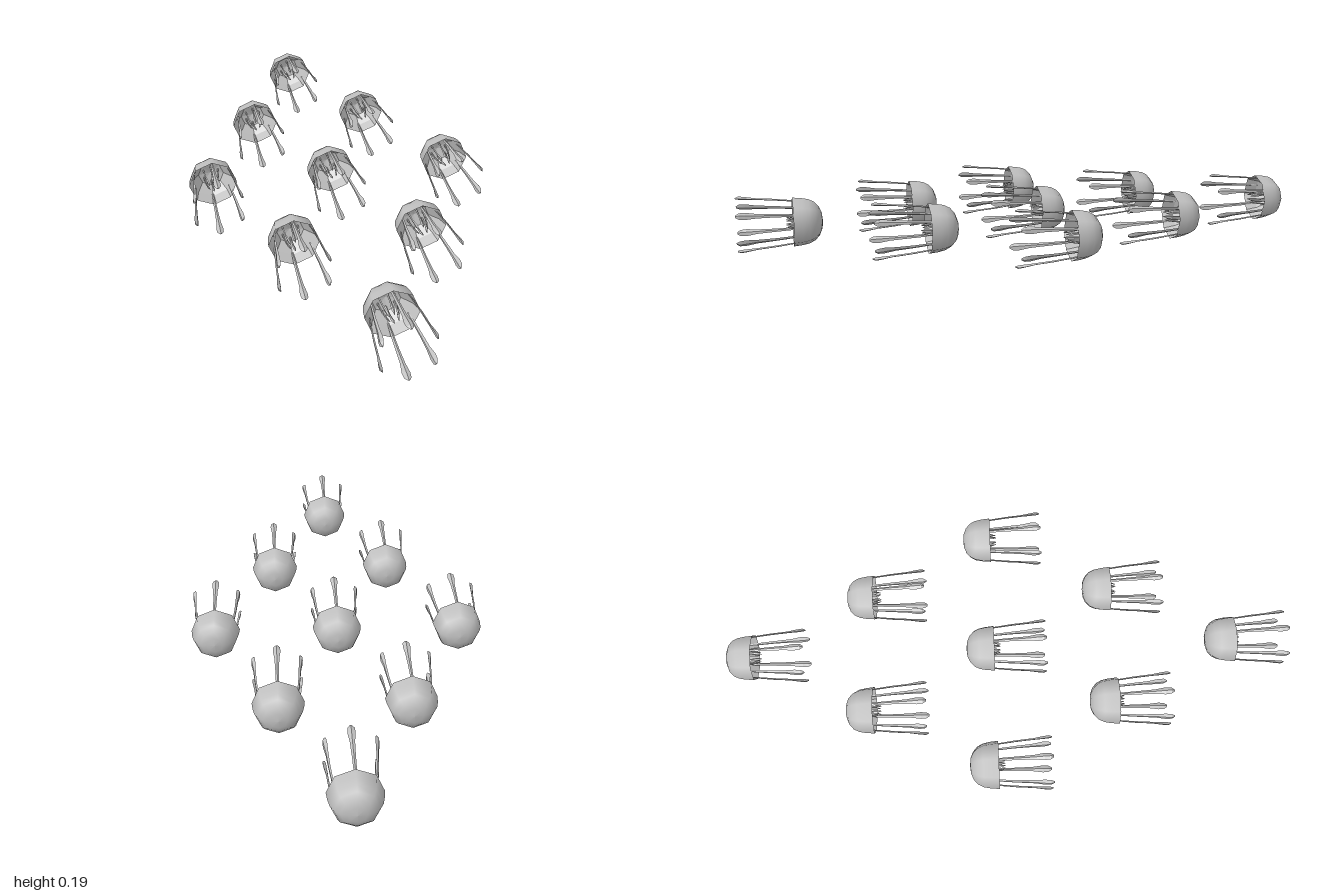
import * as THREE from 'three';

const smoothGrey = new THREE.MeshStandardMaterial({ color: 0xc2c2c2 });
smoothGrey.name = 'grey';
smoothGrey.side = THREE.DoubleSide;

// Lathe whose axis runs along +z, from the crown to the rim
function bellShell(profile, flat) {
  let geo = new THREE.LatheGeometry(profile.map(([r, z]) => new THREE.Vector2(r, z)), 8);
  geo.rotateX(Math.PI / 2);
  if (flat) {
    geo = geo.toNonIndexed();
    geo.computeVertexNormals();
  }
  return geo;
}

// Lofts a diamond section along z; each station is [z, distance from axis, half width, half thickness]
function armGeometry(stations) {
  const pos = [], idx = [];
  for (const [z, d, w, t] of stations) {
    pos.push(w, d, z, 0, d + t, z, -w, d, z, 0, d - t, z);
  }
  for (let i = 0; i < stations.length - 1; i++) {
    for (let j = 0; j < 4; j++) {
      const a = i * 4 + j, b = i * 4 + (j + 1) % 4;
      idx.push(a, b, b + 4, a, b + 4, a + 4);
    }
  }
  const e = (stations.length - 1) * 4;
  idx.push(0, 2, 1, 0, 3, 2, e, e + 1, e + 2, e, e + 2, e + 3);
  const indexed = new THREE.BufferGeometry();
  indexed.setAttribute('position', new THREE.Float32BufferAttribute(pos, 3));
  indexed.setIndex(idx);
  const geo = indexed.toNonIndexed();
  geo.computeVertexNormals();
  return geo;
}

export function createModel() {
  const model = new THREE.Group();
  model.name = 'jellyfishFormation';

  const outer = bellShell([
    [0, 0], [0.028, 0.003], [0.05, 0.012], [0.067, 0.027],
    [0.077, 0.046], [0.082, 0.07], [0.085, 0.1],
  ], false);
  const inner = bellShell([[0.085, 0.1], [0.073, 0.06], [0.045, 0.025], [0, 0.012]], true);
  const tentacle = armGeometry([
    [0.055, 0.068, 0.003, 0.002], [0.1, 0.074, 0.005, 0.0025], [0.16, 0.081, 0.006, 0.003],
    [0.22, 0.086, 0.008, 0.003], [0.255, 0.09, 0.0125, 0.005],
    [0.275, 0.092, 0.011, 0.0055], [0.286, 0.091, 0.004, 0.002],
  ]);
  const mouthArm = armGeometry([
    [0.015, 0.03, 0.003, 0.003], [0.07, 0.026, 0.003, 0.003],
    [0.105, 0.02, 0.005, 0.003], [0.122, 0.016, 0.001, 0.001],
  ]);

  function jellyfish(x, zBack) {
    const g = new THREE.Group();
    g.name = 'jellyfish';
    const add = (geo, name, turn = 0) => {
      const m = new THREE.Mesh(geo, smoothGrey);
      m.name = name;
      m.rotation.z = turn;
      g.add(m);
    };
    add(outer, 'bell');
    add(inner, 'bellLining');
    for (let i = 0; i < 6; i++) {
      add(tentacle, 'tentacle', i * Math.PI / 3);
      add(mouthArm, 'mouthArm', i * Math.PI / 3);
    }
    g.position.set(x, 0.0975, zBack);
    model.add(g);
  }

  // Diamond formation: rows of 1, 2, 3, 2, 1
  [1, 2, 3, 2, 1].forEach((count, row) => {
    for (let i = 0; i < count; i++) {
      jellyfish((i - (count - 1) / 2) * 0.428, -1 + row * 0.4285);
    }
  });
  return model;
}
